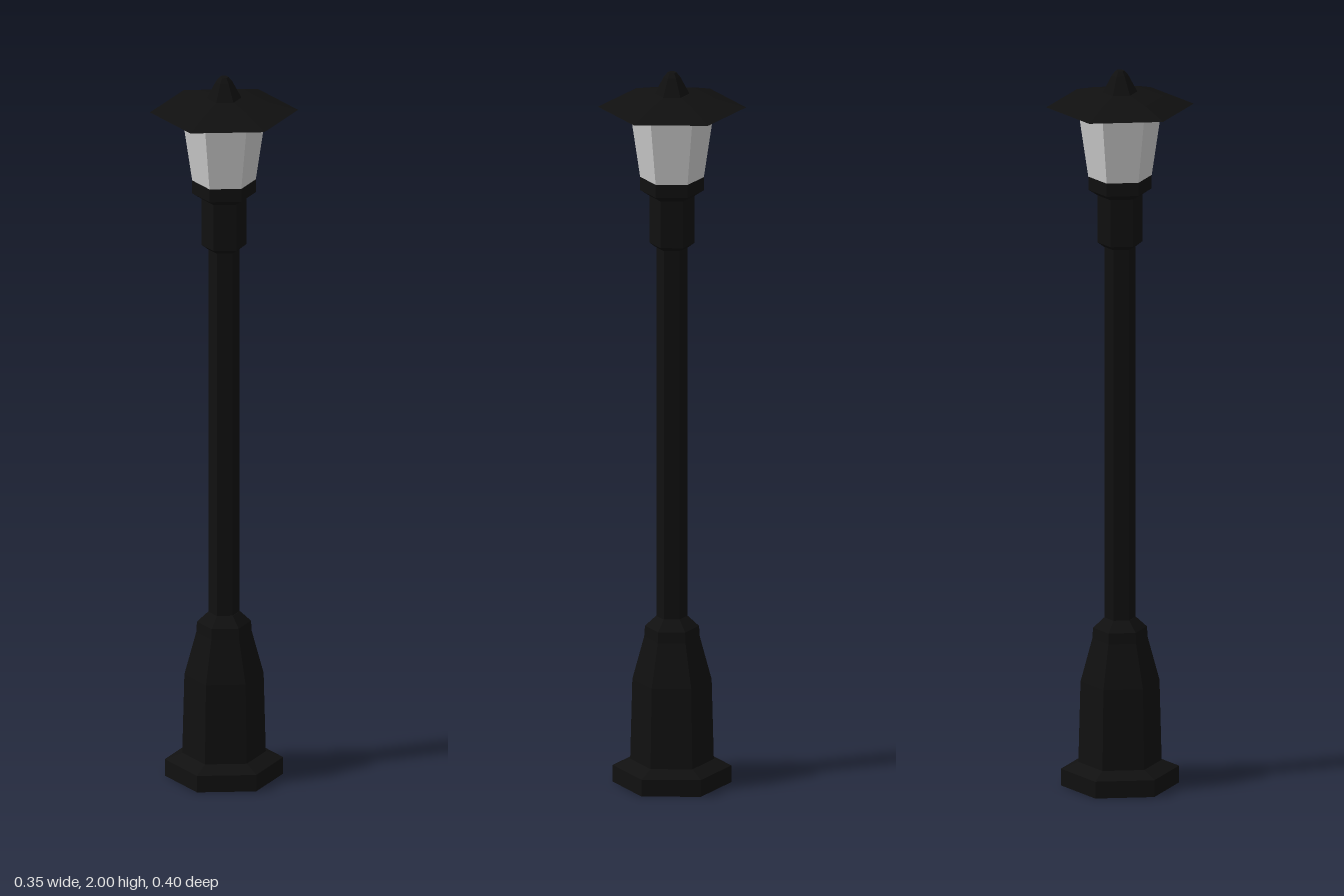
import * as THREE from 'three';

const SIDES = 6;

// Closed hexagonal turning with corners on the z axis; profile is [radius, height] from bottom to top
function turned(name, profile, material) {
  const closed = [[0, profile[0][1]], ...profile, [0, profile[profile.length - 1][1]]];
  const points = closed.map(([r, y]) => new THREE.Vector2(r, y));
  const mesh = new THREE.Mesh(new THREE.LatheGeometry(points, SIDES), material);
  mesh.name = name;
  return mesh;
}

export function createModel() {
  const iron = new THREE.MeshStandardMaterial({ color: 0x101010, flatShading: true });
  const glass = new THREE.MeshStandardMaterial({ color: 0xcccccc, flatShading: true });
  const lamp = new THREE.Group();
  lamp.name = 'streetLamp';

  lamp.add(
    // Foot and tapered pedestal
    turned('foot', [[0.16, 0], [0.16, 0.047], [0.113, 0.065]], iron),
    turned('pedestal', [[0.113, 0.06], [0.107, 0.29], [0.075, 0.41]], iron),
    turned('pedestalCollar', [[0.075, 0.41], [0.073, 0.44], [0.043, 0.468]], iron),
    // Pole and the socket at its top
    turned('pole', [[0.042, 0.45], [0.042, 1.53]], iron),
    turned('socket', [[0.045, 1.508], [0.061, 1.52], [0.061, 1.67]], iron),
    // Lantern
    turned('lanternTray', [[0.061, 1.652], [0.086, 1.668], [0.086, 1.71]], iron),
    turned('lanternGlass', [[0.086, 1.705], [0.113, 1.89]], glass),
    // Roof and finial
    turned('roof', [[0.112, 1.885], [0.2, 1.902], [0.117, 1.927], [0.048, 1.94]], iron),
    turned('finial', [[0.048, 1.938], [0.022, 1.988], [0.012, 2.0]], iron)
  );
  return lamp;
}
